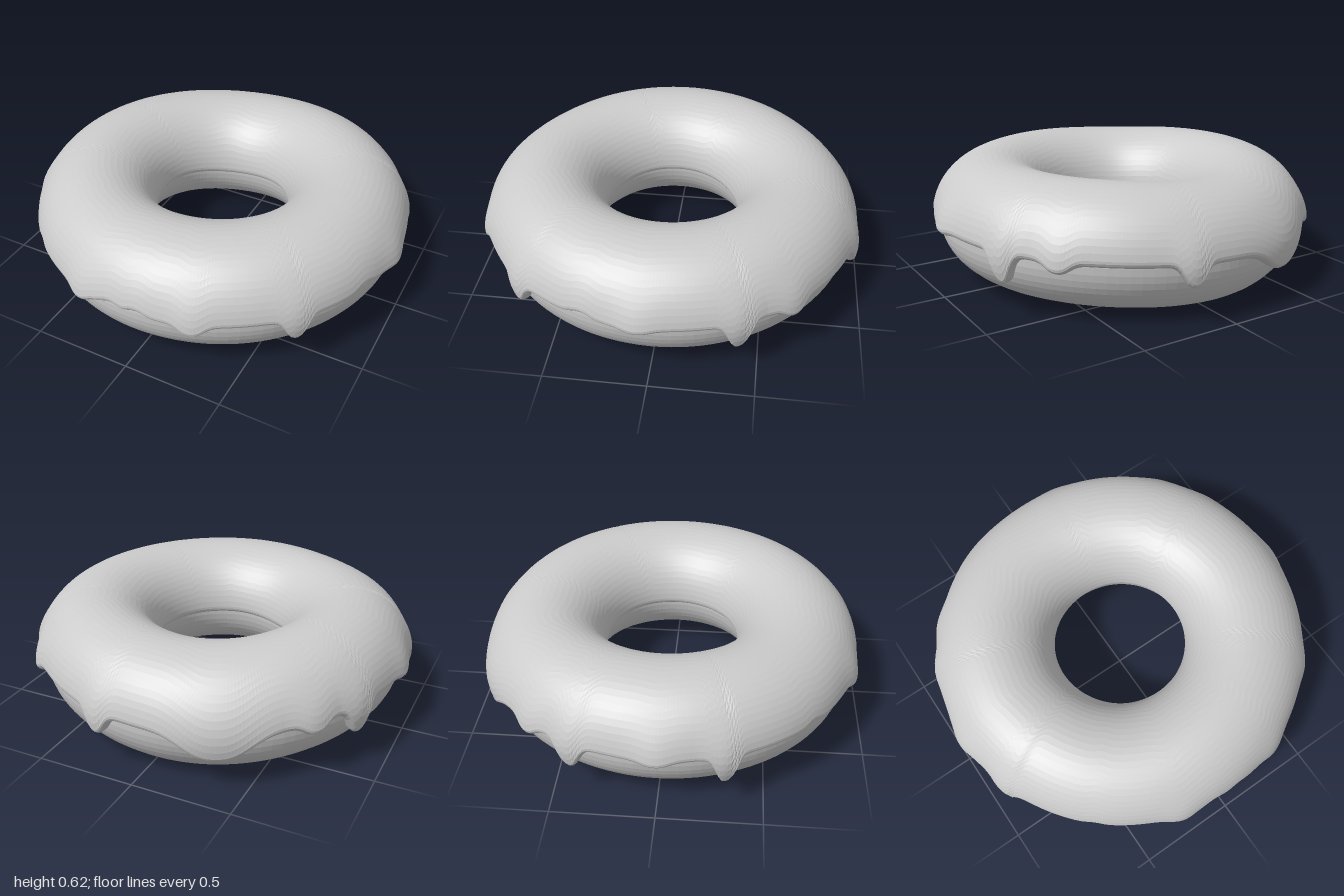
import * as THREE from 'three';

const CENTRE_R = 0.655, CENTRE_Y = 0.31, RX = 0.285, RY = 0.275;

// Icing drips: [angle in degrees from the front towards +x, drop, half width in degrees, bulge]
const DRIPS = [
  [19, 0.045, 4, 0.02], [47.5, 0.11, 3.6, 0.018], [87, 0.015, 4.5, 0.024], [115, 0.14, 3.6, 0.018],
  [132, 0.045, 4, 0.022], [168, 0.1, 3.6, 0.022], [203, 0.12, 11, 0.018], [230, 0.045, 4, 0.02],
  [245, 0.13, 3.8, 0.02], [270, 0.02, 4.5, 0.025], [289, 0.145, 3.2, 0.022], [344, 0.035, 4, 0.022],
  [318, -0.02, 3, 0], [355, -0.025, 3.5, 0], [3, -0.025, 3.5, 0], [71, -0.025, 4, 0],
];

const angleGap = (a, b) => Math.abs(((a - b + 540) % 360) - 180);

// Gentle sag of the whole ring at the back, and a smaller one at the front
const sag = (deg) =>
  -0.035 * Math.exp(-((angleGap(deg, 195) / 42) ** 2)) - 0.016 * Math.exp(-((angleGap(deg, 330) / 28) ** 2));

// Point on the ring: deg goes round the hole, a round the tube, offset lifts it off the dough
function ringPoint(deg, a, offset) {
  const t = THREE.MathUtils.degToRad(deg);
  const r = CENTRE_R + (RX + offset) * Math.cos(a);
  return [r * Math.sin(t), CENTRE_Y + (RY + offset) * Math.sin(a) + sag(deg), r * Math.cos(t)];
}

// Surface swept round the hole; section(deg) gives the points of one cross-section
function sweep(segments, section) {
  const positions = [], index = [];
  let n = 0;
  for (let i = 0; i <= segments; i++) {
    const points = section((i % segments) * 360 / segments);
    n = points.length;
    points.forEach((p) => positions.push(...p));
  }
  for (let i = 0; i < segments; i++) {
    for (let j = 0; j < n - 1; j++) {
      const a = i * n + j, b = a + n;
      index.push(a, b, b + 1, a, b + 1, a + 1);
    }
  }
  const geometry = new THREE.BufferGeometry();
  geometry.setAttribute('position', new THREE.Float32BufferAttribute(positions, 3));
  geometry.setIndex(index);
  geometry.computeVertexNormals();
  return geometry;
}

function doughSection(deg) {
  return Array.from({ length: 49 }, (_, j) => ringPoint(deg, ((j % 48) / 48) * Math.PI * 2, 0));
}

function icingSection(deg) {
  // Height of the dripping edge and how far the icing bulges here
  let drop = 0, bulge = 0;
  for (const [at, depth, width, push] of DRIPS) {
    const gap = angleGap(deg, at);
    drop += depth * Math.exp(-((gap / width) ** 2.5));
    bulge = Math.max(bulge, push * Math.exp(-((gap / (width + 2)) ** 2)));
  }
  const start = -Math.asin(drop / 0.3) + 0.02;
  const end = Math.PI + 0.05;

  // Angles round the tube, closely spaced at both lips
  const lip = [0, 0.006, 0.02, 0.045, 0.08, 0.12];
  const angles = lip.map((d) => start + d);
  const from = start + 0.12, to = end - 0.12;
  for (let j = 1; j < 28; j++) angles.push(from + (to - from) * j / 28);
  angles.push(...lip.map((d) => end - d).reverse());

  const points = angles.map((a) => {
    const d = Math.min(1, Math.min(a - start, end - a) / 0.12);
    const round = Math.sqrt(Math.max(0, 1 - (1 - d) ** 2));
    const inner = THREE.MathUtils.smoothstep(a, Math.PI / 2, Math.PI);
    const low = 1 - THREE.MathUtils.smoothstep(a, -0.1, 0.7);
    return ringPoint(deg, a, (0.035 - 0.013 * inner + bulge * low) * round);
  });
  // Tuck both lips under the dough surface
  return [ringPoint(deg, start, -0.015), ...points, ringPoint(deg, end, -0.015)];
}

export function createModel() {
  const group = new THREE.Group();
  group.name = 'doughnut';
  const material = new THREE.MeshStandardMaterial({ color: 0xcccccc, flatShading: true });

  const dough = new THREE.Mesh(sweep(112, doughSection), material);
  dough.name = 'dough';

  const icing = new THREE.Mesh(sweep(360, icingSection), material);
  icing.name = 'icing';

  group.add(dough, icing);
  return group;
}
